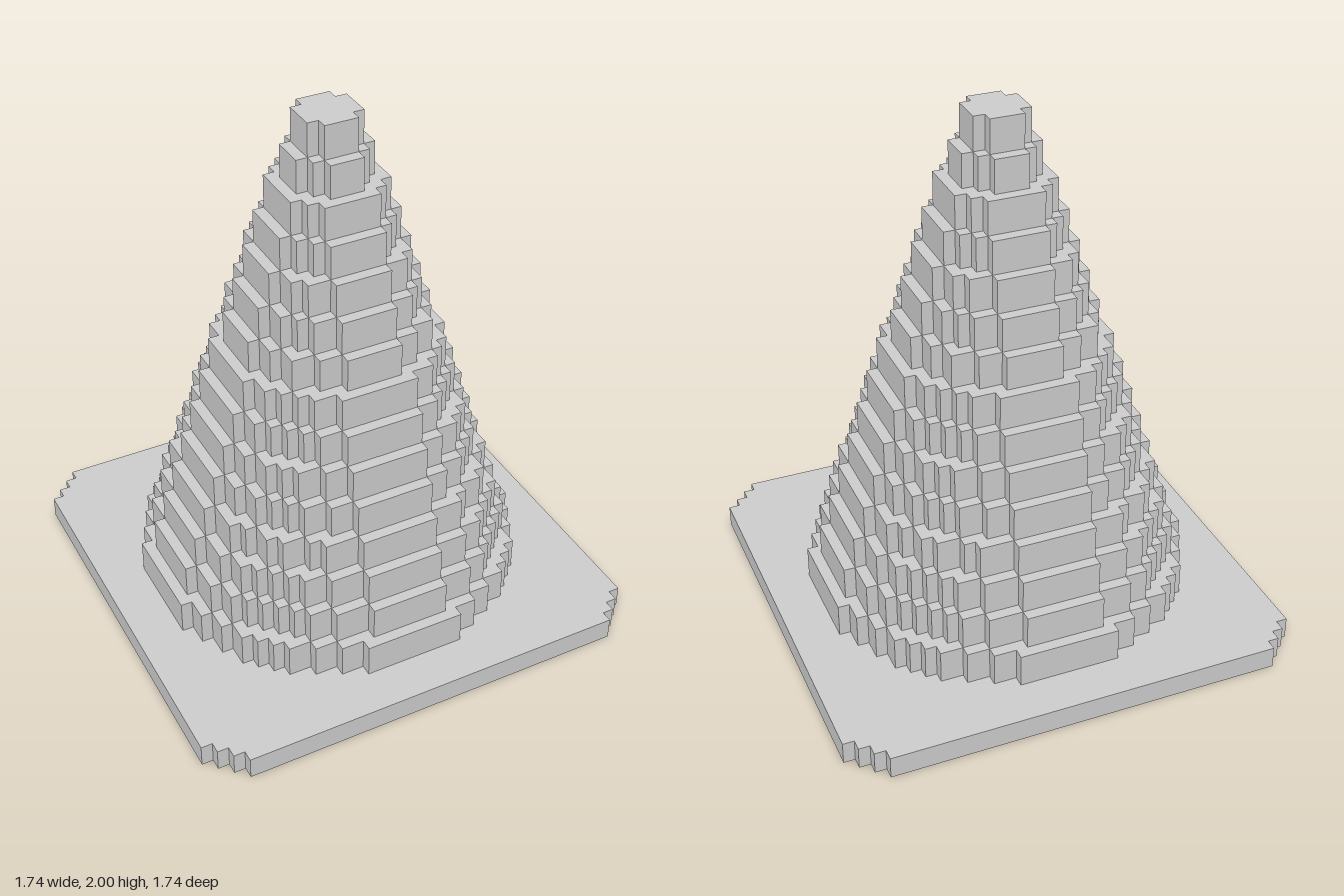
import * as THREE from 'three';

const V = 2 / 47; // edge of one cubic cell; the cone is 47 cells tall
const material = new THREE.MeshStandardMaterial({ color: 0xcccccc, flatShading: true });

// Slab with a stepped outline: every cell (x, z) up to reach r that passes inside(x, z)
function steppedSlab(name, r, inside, bottom, height) {
  const right = [];
  let last = -1;
  for (let z = -r; z <= r; z++) {
    let x = 0;
    while (x < r && inside(x + 1, z)) x++;
    if (x === last) right.pop(); // merge rows of equal width
    else right.push([x + 0.5, z - 0.5]);
    right.push([x + 0.5, z + 0.5]);
    last = x;
  }
  const left = right.map(([x, z]) => [-x, z]).reverse();
  const outline = [...right, ...left].map(([x, z]) => new THREE.Vector2(x * V, z * V));
  const geometry = new THREE.ExtrudeGeometry(new THREE.Shape(outline), {
    depth: height * V,
    bevelEnabled: false,
  });
  geometry.rotateX(-Math.PI / 2);
  const mesh = new THREE.Mesh(geometry, material);
  mesh.name = name;
  mesh.position.y = bottom * V;
  return mesh;
}

export function createModel() {
  const model = new THREE.Group();
  model.name = 'trafficCone';

  // Square foot with stair-stepped corners
  model.add(steppedSlab('basePlate', 20, (x, z) => x + Math.abs(z) <= 37, 0, 2));

  // Stacked round tiers, each one cell narrower than the one below
  const body = new THREE.Group();
  body.name = 'coneBody';
  for (let i = 0; i < 15; i++) {
    const r = 16 - i;
    const disc = (x, z) => x * x + z * z <= (r + 0.5) ** 2;
    body.add(steppedSlab(`coneTier${i + 1}`, r, disc, 2 + 3 * i, 3));
  }
  model.add(body);
  return model;
}
